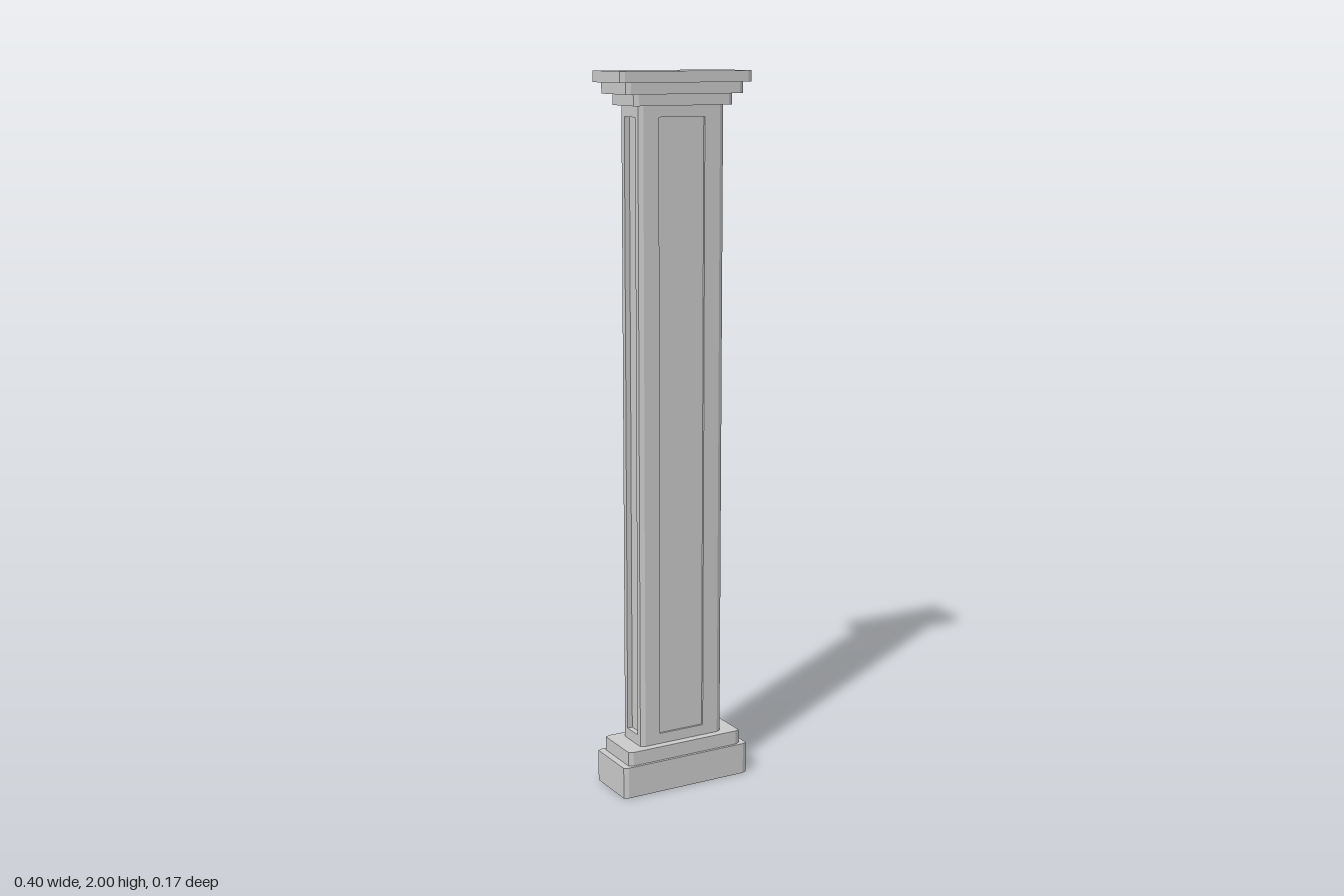
import * as THREE from 'three';

const material = new THREE.MeshStandardMaterial({ color: 0xcccccc, flatShading: true });

// One quarter of a section, from the +x side round to the +z side, mirrored into a closed outline
function mirrorQuarter(quarter) {
  const back = [...quarter].reverse();
  const points = [
    ...quarter,
    ...back.map(([x, z]) => [-x, z]),
    ...quarter.map(([x, z]) => [-x, -z]),
    ...back.map(([x, z]) => [x, -z]),
  ];
  return new THREE.Shape(points.map(([x, z]) => new THREE.Vector2(x, z)));
}

// Upright prism of a section between two heights
function prism(name, quarter, y0, y1) {
  const geometry = new THREE.ExtrudeGeometry(mirrorQuarter(quarter), { depth: y1 - y0, bevelEnabled: false });
  geometry.rotateX(-Math.PI / 2);
  geometry.translate(0, y0, 0);
  const mesh = new THREE.Mesh(geometry, material);
  mesh.name = name;
  return mesh;
}

// Rectangle with small cut corners
const CUT_X = 0.013, CUT_Z = 0.006;
const slab = (hx, hz) => [[hx, hz - CUT_Z], [hx - CUT_X, hz]];

export function createModel() {
  const group = new THREE.Group();
  group.name = 'pilaster';

  // Stepped base
  group.add(prism('plinth', slab(0.2, 0.083), 0, 0.09));
  group.add(prism('baseStep', slab(0.18, 0.075), 0.09, 0.13));

  // Shaft: solid ends and a middle with a sunken panel on each of the four sides
  const hx = 0.13, hz = 0.052;
  const panelX = 0.07, panelZ = 0.03;
  const sunkX = 0.015, sunkZ = 0.006;
  const panelled = [
    [hx - sunkX, panelZ], [hx, panelZ],
    ...slab(hx, hz),
    [panelX, hz], [panelX, hz - sunkZ],
  ];
  group.add(prism('shaftFoot', slab(hx, hz), 0.13, 0.16));
  group.add(prism('panelledShaft', panelled, 0.16, 1.88));
  group.add(prism('shaftHead', slab(hx, hz), 1.88, 1.91));

  // Capital stepping outwards
  [[0.15, 0.064], [0.178, 0.075], [0.2, 0.083]].forEach(([x, z], i) => {
    group.add(prism(`capitalStep${i + 1}`, slab(x, z), 1.91 + i * 0.03, 1.94 + i * 0.03));
  });

  return group;
}
